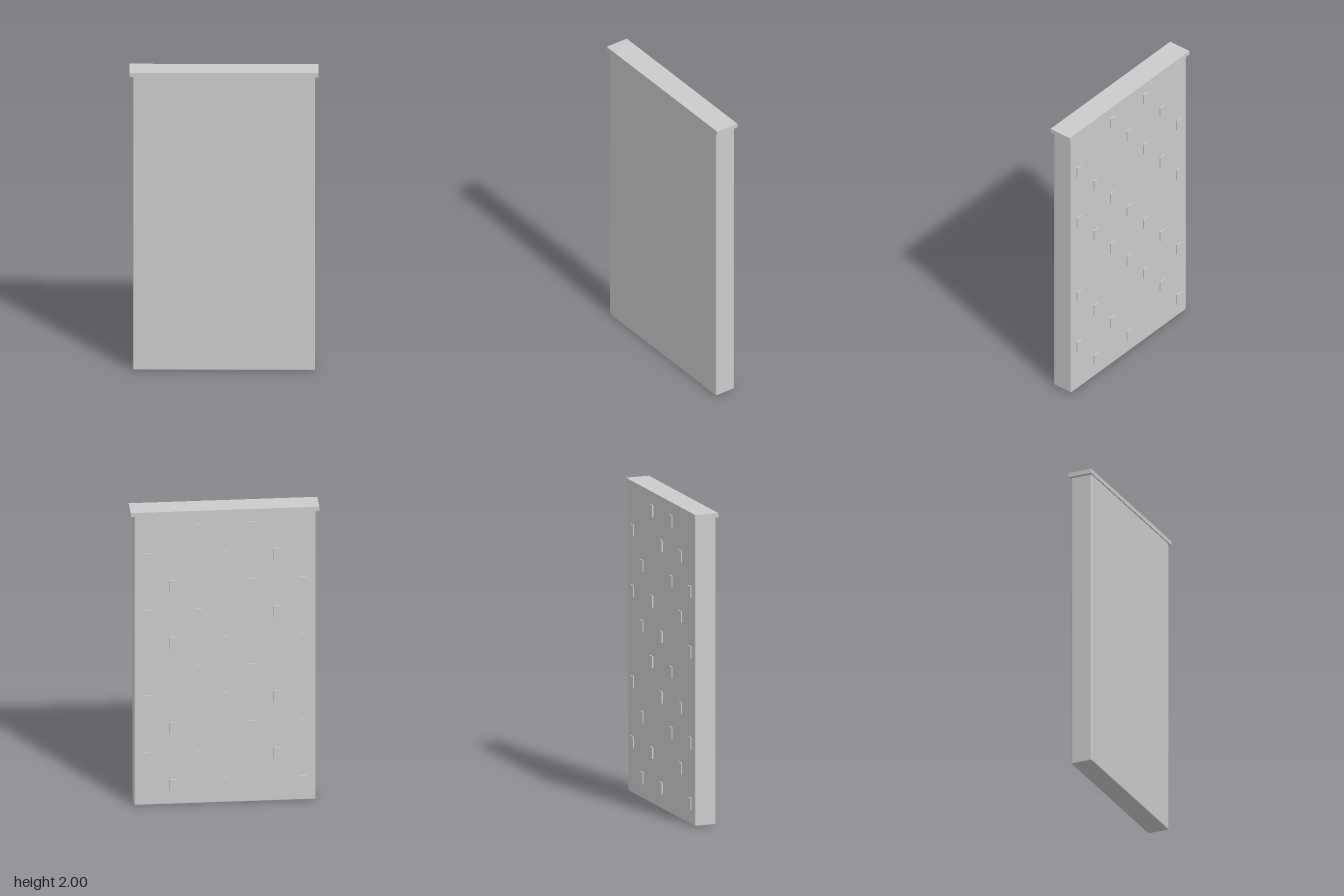
import * as THREE from 'three';
import { RoundedBoxGeometry } from 'three/addons/geometries/RoundedBoxGeometry.js';

const material = new THREE.MeshStandardMaterial({ color: 0xcccccc });

function addPart(parent, name, geometry, x, y, z) {
  const mesh = new THREE.Mesh(geometry, material);
  mesh.name = name;
  mesh.position.set(x, y, z);
  parent.add(mesh);
  return mesh;
}

export function createModel() {
  const model = new THREE.Group();
  model.name = 'panel';

  // Tall slab with softened edges, its top tucked into the cap
  const bodyHeight = 1.985;
  addPart(model, 'body', new RoundedBoxGeometry(1.14, bodyHeight, 0.14, 2, 0.008), 0, bodyHeight / 2, 0);

  // Overhanging cap
  addPart(model, 'cap', new THREE.BoxGeometry(1.184, 0.028, 0.156), 0, 1.986, 0);

  // Staggered studs on the back: two in every five rows, shifted one row per column
  const studs = new THREE.Group();
  studs.name = 'backStuds';
  model.add(studs);
  const studGeometry = new THREE.BoxGeometry(0.044, 0.074, 0.016);
  for (let column = 0; column < 7; column++) {
    for (let row = 0; row < 10; row++) {
      const phase = (row - column + 10) % 5;
      if (phase !== 1 && phase !== 3) continue;
      addPart(studs, 'stud', studGeometry, (3 - column) * 0.164, 1.877 - row * 0.1937, -0.07);
    }
  }
  return model;
}
